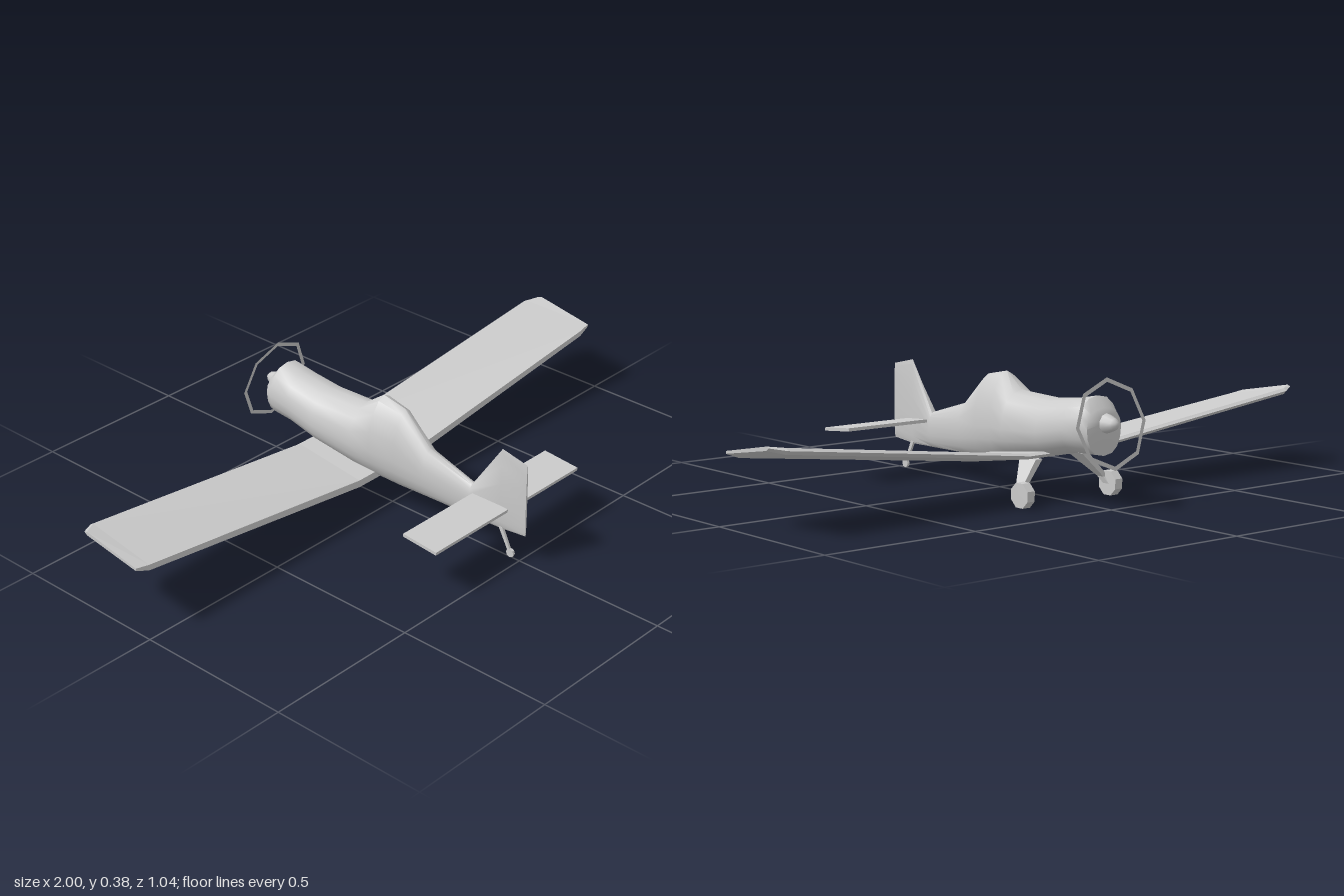
import * as THREE from 'three';
import { toCreasedNormals } from 'three/addons/utils/BufferGeometryUtils.js';

const smooth = new THREE.MeshStandardMaterial({ color: 0xcccccc });
const flat = new THREE.MeshStandardMaterial({ color: 0xcccccc, flatShading: true });
const thin = new THREE.MeshStandardMaterial({ color: 0xcccccc, side: THREE.DoubleSide });

// Skin a row of closed rings (counter-clockwise seen from the first end) and cap both ends
function loft(rings) {
  const n = rings[0].length, last = rings.length - 1, index = [];
  const points = rings.flat();
  for (let s = 0; s < last; s++) {
    for (let i = 0; i < n; i++) {
      const j = (i + 1) % n, a = s * n + i, b = s * n + j;
      index.push(a, a + n, b, b, a + n, b + n);
    }
  }
  for (let i = 1; i < n - 1; i++) {
    index.push(0, i, i + 1);
    index.push(last * n, last * n + i + 1, last * n + i);
  }
  const g = new THREE.BufferGeometry();
  g.setAttribute('position', new THREE.Float32BufferAttribute(points.flat(), 3));
  g.setIndex(index);
  g.computeVertexNormals();
  return g;
}

// Fuselage cross-section: rounded top of adjustable sharpness, boxier belly
function hullRing([z, top, bottom, halfWidth, midY, power]) {
  const ring = [], sides = 16;
  for (let i = 0; i < sides; i++) {
    const a = (i / sides) * Math.PI * 2, c = Math.cos(a), s = Math.sin(a);
    const p = s > 0 ? power : 0.75;
    const x = Math.sign(c) * Math.pow(Math.abs(c), p) * halfWidth;
    const y = midY + s * (s > 0 ? top - midY : midY - bottom);
    ring.push([x, y, z]);
  }
  return ring;
}

// Wing section at x: trailing and leading edge, each with bottom and top heights
const wingRing = (x, [tz, tb, tt, lz, lb, lt]) => [
  [x, tb, tz], [x, lb, lz + 0.012], [x, (lb + lt) / 2 + 0.002, lz],
  [x, lt, lz + 0.012], [x, tt, tz],
];

export function createModel() {
  const model = new THREE.Group();
  const add = (name, geometry, material, parent = model) => {
    const mesh = new THREE.Mesh(geometry, material);
    mesh.name = name;
    parent.add(mesh);
    return mesh;
  };

  // Fuselage running into the thin tail fin: z, top, bottom, half width, widest height, top power
  const hull = [
    [0.52, 0.335, 0.098, 0.003, 0.20, 1],
    [0.427, 0.355, 0.088, 0.006, 0.17, 1],
    [0.32, 0.20, 0.088, 0.022, 0.15, 1],
    [0.153, 0.248, 0.089, 0.04, 0.17, 1],
    [0.052, 0.346, 0.091, 0.058, 0.19, 1.2],
    [-0.035, 0.363, 0.097, 0.073, 0.20, 1.2],
    [-0.105, 0.313, 0.108, 0.083, 0.20, 0.95],
    [-0.262, 0.305, 0.134, 0.086, 0.21, 0.9],
    [-0.37, 0.317, 0.157, 0.081, 0.23, 0.9],
    [-0.44, 0.33, 0.158, 0.077, 0.24, 0.85],
    [-0.467, 0.297, 0.158, 0.066, 0.24, 0.85],
    [-0.478, 0.279, 0.222, 0.033, 0.25, 1],
  ];
  add('fuselage', toCreasedNormals(loft(hull.map(hullRing)), 0.8), smooth);

  // Spinner
  const cone = [[0.03, 0], [0.026, 0.015], [0.018, 0.037], [0.009, 0.048], [0, 0.049]];
  const spinner = add('spinner',
    new THREE.LatheGeometry(cone.map(([r, y]) => new THREE.Vector2(r, y)), 10), smooth);
  spinner.rotation.x = -Math.PI / 2;
  spinner.position.set(0, 0.253, -0.474);

  // Propeller sweep, a thin tilted eight-sided hoop
  const hoop = add('propellerHoop', new THREE.RingGeometry(0.121, 0.134, 8), thin);
  hoop.rotation.x = 0.15;
  hoop.position.set(0, 0.253, -0.497);

  // Wing in one piece, tip to tip, with dihedral and upswept tips
  const stations = [
    [1, [-0.04, 0.214, 0.222, -0.25, 0.246, 0.258]],
    [0.955, [-0.036, 0.197, 0.215, -0.276, 0.234, 0.253]],
    [0.12, [-0.025, 0.099, 0.122, -0.284, 0.136, 0.153]],
  ];
  const mirrored = [...stations].reverse().map(([x, s]) => [-x, s]);
  add('wing', loft([...stations, ...mirrored].map(([x, s]) => wingRing(x, s))), flat);

  // Tailplane
  const tail = add('tailplane', new THREE.BoxGeometry(0.64, 0.01, 0.125), flat);
  tail.position.set(0, 0.166, 0.393);
  tail.rotation.x = 0.09;

  // Rectangle for struts: centre, half width, half length
  const rect = (x, y, z, w, l) => [
    [x + w, y, z + l], [x + w, y, z - l], [x - w, y, z - l], [x - w, y, z + l],
  ];

  // Main landing gear
  for (const side of [-1, 1]) {
    const gear = new THREE.Group();
    gear.name = side > 0 ? 'leftGear' : 'rightGear';
    model.add(gear);
    add('strut', loft([
      rect(side * 0.09, 0.135, -0.252, 0.013, 0.036),
      rect(side * 0.158, 0.06, -0.288, 0.009, 0.014),
      rect(side * 0.163, 0.04, -0.305, 0.008, 0.012),
    ]), flat, gear);
    const wheel = add('wheel', new THREE.CylinderGeometry(0.039, 0.039, 0.028, 8), flat, gear);
    wheel.rotation.set(Math.PI / 8, 0, Math.PI / 2);
    wheel.position.set(side * 0.17, 0.042, -0.31);
  }

  // Tail wheel
  add('tailStrut', loft([
    rect(0, 0.095, 0.428, 0.004, 0.007),
    rect(0, 0.025, 0.463, 0.004, 0.005),
  ]), flat);
  const tailWheel = add('tailWheel', new THREE.CylinderGeometry(0.014, 0.014, 0.008, 8), flat);
  tailWheel.rotation.z = Math.PI / 2;
  tailWheel.position.set(0, 0.02, 0.466);

  return model;
}
